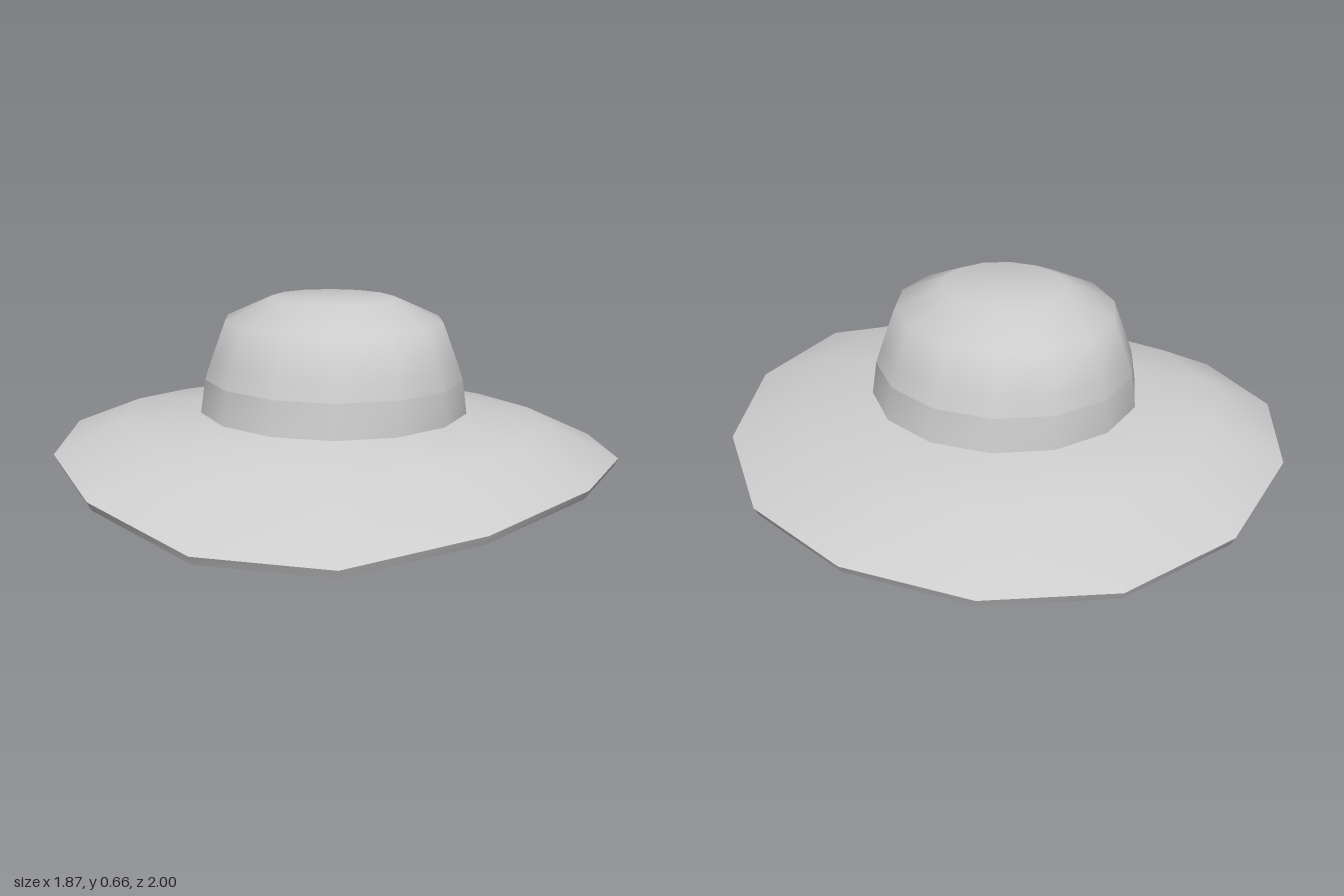
import * as THREE from 'three';

const SIDES = 14;
const felt = new THREE.MeshStandardMaterial({ color: 0xcccccc });
felt.name = 'feltGrey';

// One elliptical ring; y is a height or a list of heights, one per corner
function ring(rx, rz, y) {
  return Array.from({ length: SIDES }, (_, j) => {
    const a = (j / SIDES) * Math.PI * 2;
    return [Math.sin(a) * rx, Array.isArray(y) ? y[j] : y, Math.cos(a) * rz];
  });
}

// Smooth skin through rings; rings listed upward face outward, downward face inward
function loft(name, rings) {
  const index = [];
  for (let i = 0; i < rings.length - 1; i++) {
    for (let j = 0; j < SIDES; j++) {
      const k = (j + 1) % SIDES;
      const a = i * SIDES + j, b = i * SIDES + k;
      const c = b + SIDES, d = a + SIDES;
      index.push(a, b, c, a, c, d);
    }
  }
  const geo = new THREE.BufferGeometry();
  geo.setAttribute('position', new THREE.Float32BufferAttribute(rings.flat(2), 3));
  geo.setIndex(index);
  geo.computeVertexNormals();
  const mesh = new THREE.Mesh(geo, felt);
  mesh.name = name;
  return mesh;
}

export function createModel() {
  const hat = new THREE.Group();
  hat.name = 'hat';

  // Wavy brim heights, from the front round through +x
  const edge = [0.15, 0.14, 0.11, 0.08, 0.08, 0.07, 0.065, 0.10, 0.15, 0.14, 0.10, 0.03, 0.03, 0.10];
  const bend = [0.25, 0.25, 0.225, 0.21, 0.21, 0.215, 0.215, 0.222, 0.25, 0.255, 0.225, 0.19, 0.19, 0.22];
  const edgeTop = ring(0.96, 1, edge);
  const edgeBottom = ring(0.945, 0.985, edge.map((y) => y - 0.03));
  const opening = ring(0.445, 0.455, 0.215);

  // Brim bends on top and is a straight cone underneath
  const brim = new THREE.Group();
  brim.name = 'brim';
  brim.add(
    loft('brimTop', [edgeTop, ring(0.72, 0.75, bend), ring(0.46, 0.47, 0.265)]),
    loft('brimEdge', [edgeBottom, edgeTop]),
    loft('brimUnderside', [opening, edgeBottom])
  );
  hat.add(brim);

  // Crown: rx, rz, y from the band up to the flat top
  const profile = [
    [0.446, 0.464, 0.38], [0.425, 0.445, 0.44], [0.374, 0.393, 0.58],
    [0.21, 0.225, 0.655], [0.001, 0.001, 0.658],
  ];
  const crown = profile.map((p) => ring(...p));
  hat.add(loft('crown', crown));

  // Band round the foot of the crown
  hat.add(loft('band', [ring(0.467, 0.477, 0.262), crown[0]]));

  // Hollow inside, facing inward
  const inside = profile.map(([rx, rz, y]) => ring(Math.max(rx - 0.01, 0.001), Math.max(rz - 0.01, 0.001), y - 0.01));
  const sill = ring(0.435, 0.445, 0.24);
  hat.add(loft('lining', [...inside.reverse(), sill]));
  hat.add(loft('openingRim', [sill, opening]));

  return hat;
}
